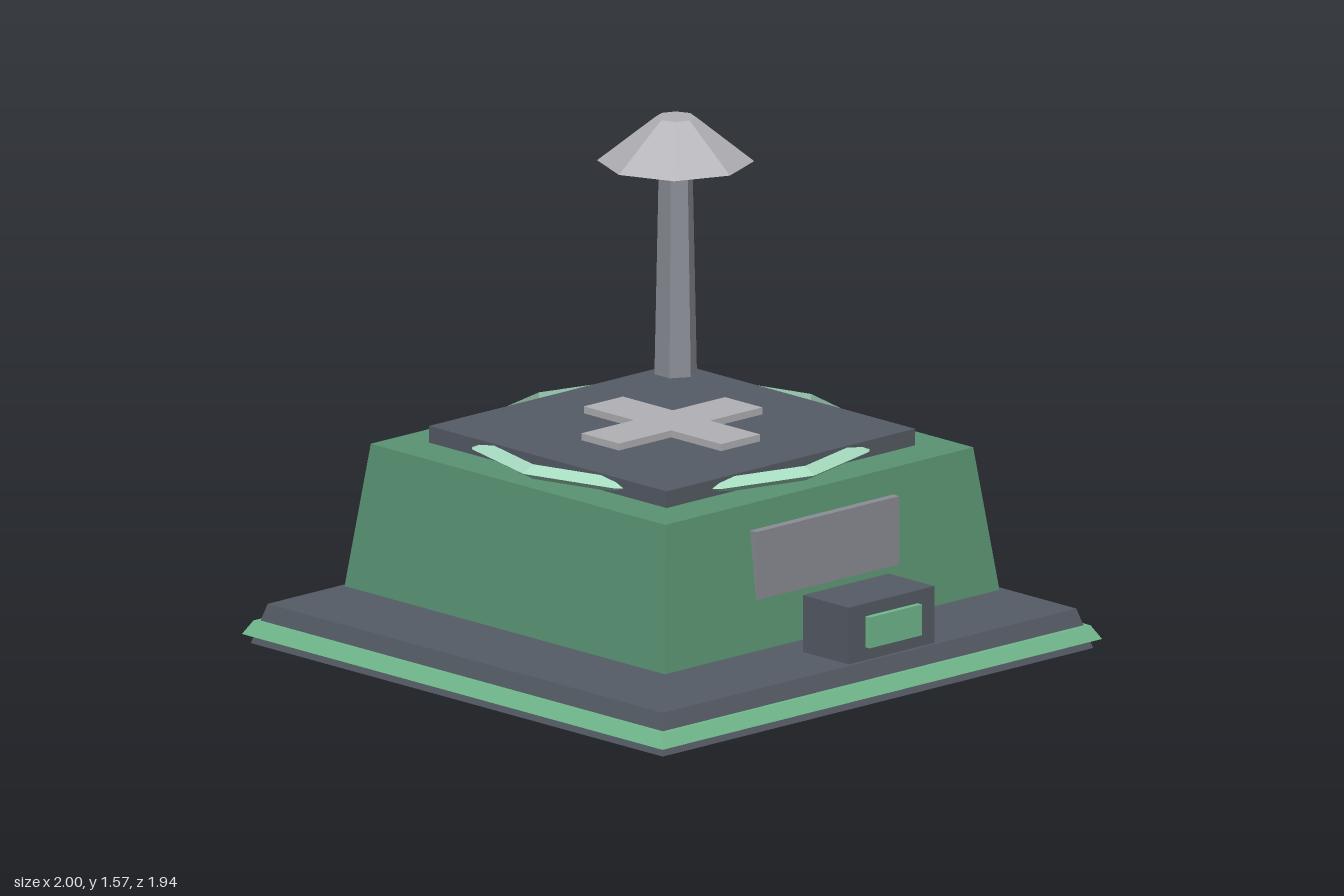
import * as THREE from 'three';

const mat = (name, color) => {
  const m = new THREE.MeshStandardMaterial({ color });
  m.name = name;
  m.flatShading = true;
  return m;
};

export function createModel() {
  const slate = mat('dark slate', 0x565c66);
  const green = mat('wall green', 0x5a9573);
  const trim = mat('trim green', 0x72ba8e);
  const mint = mat('mint glow', 0xa6dcc0);
  const steel = mat('steel grey', 0x8c8e97);
  const pale = mat('pale grey', 0xb2b2b6);

  const model = new THREE.Group();
  model.name = 'landingPadStation';
  const building = new THREE.Group();
  building.name = 'building';
  building.position.x = -0.03;
  model.add(building);

  const add = (parent, name, geometry, material, x = 0, y = 0, z = 0) => {
    const mesh = new THREE.Mesh(geometry, material);
    mesh.name = name;
    mesh.position.set(x, y, z);
    parent.add(mesh);
    return mesh;
  };
  // Square block with sloping sides, given half widths at bottom and top
  const taper = (name, bottom, top, y0, y1, material) => {
    const g = new THREE.CylinderGeometry(top * Math.SQRT2, bottom * Math.SQRT2, y1 - y0, 4);
    g.rotateY(Math.PI / 4);
    return add(building, name, g, material, 0, (y0 + y1) / 2, 0);
  };

  // Stepped foundation and walls
  taper('foundation', 0.948, 0.91, 0, 0.13, slate);
  taper('foundationTrim', 0.968, 0.942, 0.03, 0.075, trim);
  taper('walls', 0.737, 0.678, 0.19, 0.66, green);

  // Roof pad with a raised cross
  add(building, 'roofPad', new THREE.BoxGeometry(1.094, 0.055, 1.094), slate, 0, 0.6925, 0);
  const a = 0.316, b = 0.086;
  const outline = [[-b, -a], [b, -a], [b, -b], [a, -b], [a, b], [b, b],
    [b, a], [-b, a], [-b, b], [-a, b], [-a, -b], [-b, -b]];
  const cross = new THREE.Shape(outline.map(([x, y]) => new THREE.Vector2(x, y)));
  const crossGeo = new THREE.ExtrudeGeometry(cross, { depth: 0.025, bevelEnabled: false });
  crossGeo.rotateX(-Math.PI / 2);
  add(building, 'roofCross', crossGeo, pale, 0, 0.718, 0);

  // Twelve-sided light ring around the pad
  const ring = new THREE.TorusGeometry(0.627, 0.028, 3, 12);
  ring.rotateX(Math.PI / 2);
  add(building, 'lightRing', ring, mint, 0, 0.69, 0);

  // Side panels
  for (const side of [-1, 1]) {
    add(building, side > 0 ? 'leftPanel' : 'rightPanel',
      new THREE.BoxGeometry(0.06, 0.225, 0.63), steel, side * 0.687, 0.4625, 0);
  }

  // Antenna: hexagonal mast, faceted dish and receiver
  const antenna = new THREE.Group();
  antenna.name = 'antenna';
  antenna.position.set(-0.497, 0, -0.463);
  model.add(antenna);
  const mast = new THREE.CylinderGeometry(0.056, 0.07, 0.675, 6);
  mast.rotateY(Math.PI / 2);
  add(antenna, 'mast', mast, steel, 0, 1.0375, 0);
  add(antenna, 'dish', new THREE.CylinderGeometry(0.064, 0.25, 0.145, 8), pale, 0, 1.4925, 0);
  add(antenna, 'receiver', new THREE.SphereGeometry(0.06, 6, 4), trim, 0, 1.46, 0);

  // Free-standing console with a screen
  add(model, 'console', new THREE.BoxGeometry(0.21, 0.187, 0.378), slate, 0.875, 0.2665, 0);
  add(model, 'consoleScreen', new THREE.BoxGeometry(0.03, 0.102, 0.23), trim, 0.985, 0.2665, 0);

  return model;
}
